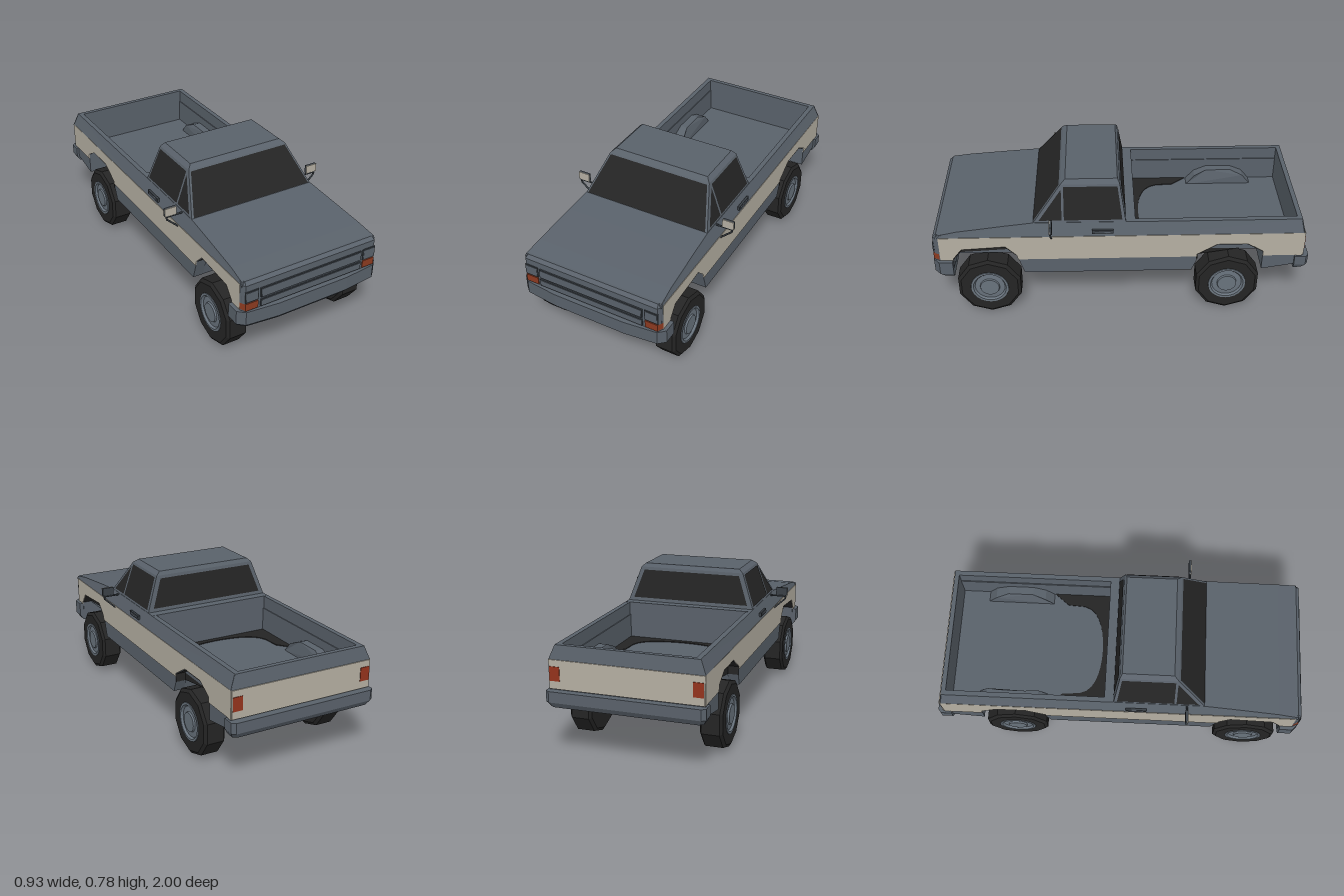
import * as THREE from 'three';

const material = (name, color, side = THREE.FrontSide) => {
  const m = new THREE.MeshStandardMaterial({ color, side });
  m.name = name;
  return m;
};

export function createModel() {
  const truck = new THREE.Group();
  truck.name = 'pickupTruck';
  const gray = material('grayPaint', 0x59616a);
  const beige = material('beigePaint', 0xb4aea1);
  const black = material('blackGlassAndRubber', 0x242424, THREE.DoubleSide);
  const trim = material('darkTrim', 0x3a4046);
  const steel = material('wheelSteel', 0x68727c);
  const orange = material('orangeLamp', 0x8c3a20);
  const red = material('redLamp', 0x93331c);

  const add = (name, geo, mat, parent = truck) => {
    const mesh = new THREE.Mesh(geo, mat);
    mesh.name = name;
    parent.add(mesh);
    return mesh;
  };
  const bend = (geo, rule) => {
    const p = geo.attributes.position, v = new THREE.Vector3();
    for (let i = 0; i < p.count; i++) {
      rule(v.fromBufferAttribute(p, i));
      p.setXYZ(i, v.x, v.y, v.z);
    }
    geo.computeVertexNormals();
    return geo;
  };
  const extrude = (pts, depth) => new THREE.ExtrudeGeometry(
    new THREE.Shape(pts.map(([a, b]) => new THREE.Vector2(a, b))), { depth, bevelEnabled: false });
  // Side outline of (z, y) points, running from x0 to x1
  const across = (pts, x0, x1, rule = () => {}) =>
    bend(extrude(pts, x1 - x0).rotateY(-Math.PI / 2).translate(x1, 0, 0), rule);
  const sided = (pts, s, x0, x1, rule) => across(pts, s > 0 ? x0 : -x1, s > 0 ? x1 : -x0, rule);
  // Plan outline of (x, z) points, running from y0 to y1
  const upward = (pts, y0, y1, rule = () => {}) =>
    bend(extrude(pts.map(([x, z]) => [x, -z]), y1 - y0).rotateX(-Math.PI / 2).translate(0, y0, 0), rule);
  const mirrored = (half) => [...half, ...half.map(([x, z]) => [-x, z]).reverse()];
  const box = (name, mat, [w, h, d], [x, y, z], parent) =>
    add(name, new THREE.BoxGeometry(w, h, d).translate(x, y, z), mat, parent);
  // Flat convex face through 3D corners
  const face = (name, pts, mat) => {
    const g = new THREE.BufferGeometry(), tri = [];
    for (let i = 1; i < pts.length - 1; i++) tri.push(...pts[0], ...pts[i], ...pts[i + 1]);
    g.setAttribute('position', new THREE.Float32BufferAttribute(tri, 3));
    g.computeVertexNormals();
    return add(name, g, mat);
  };
  const rod = (name, a, b, r, mat) => {
    const A = new THREE.Vector3(...a), d = new THREE.Vector3(...b).sub(A);
    const m = add(name, new THREE.CylinderGeometry(r, r, d.length(), 6), mat);
    m.position.copy(A).addScaledVector(d, 0.5);
    m.quaternion.setFromUnitVectors(new THREE.Vector3(0, 1, 0), d.normalize());
  };

  // Lower body with open wheel arches
  const rearArch = [[-0.755, 0.268], [-0.755, 0.39], [-0.67, 0.44], [-0.51, 0.44], [-0.405, 0.375], [-0.405, 0.33], [-0.38, 0.268]];
  const frontArch = [[0.507, 0.268], [0.545, 0.39], [0.6, 0.445], [0.83, 0.43], [0.877, 0.37], [0.877, 0.31]];
  add('underbody', across([[0.955, 0.3], [0.955, 0.505], [-0.08, 0.505], [-0.08, 0.375], [-0.95, 0.375],
    [-0.93, 0.3], [-0.755, 0.268], [-0.755, 0.36], [-0.405, 0.36], [-0.38, 0.268],
    [0.507, 0.268], [0.53, 0.36], [0.877, 0.36], [0.877, 0.3]], -0.33, 0.33), gray);

  // Shoulders lean inward above the beige band
  const shoulder = (v) => {
    if (Math.abs(v.x) > 0.35) v.x = Math.sign(v.x) * (0.39 - Math.max(0, v.y - 0.505) * 0.4);
  };
  add('hoodAndCowl', across([[0.96, 0.5], [0.955, 0.518], [0.85, 0.536], [0.6, 0.562], [0.45, 0.576],
    [-0.08, 0.576], [-0.08, 0.5]], -0.39, 0.39, shoulder), gray);
  add('tailgate', across([[-0.925, 0.3], [-0.925, 0.575], [-0.95, 0.575], [-0.965, 0.505], [-0.96, 0.3]],
    -0.388, 0.388, shoulder), gray);
  box('tailgateBand', beige, [0.776, 0.145, 0.008], [0, 0.4325, -0.966]);

  for (const s of [1, -1]) {
    add('bodySide', sided([[0.955, 0.3], [0.955, 0.505], [-0.955, 0.505], [-0.94, 0.3], ...rearArch, ...frontArch],
      s, 0.33, 0.387), gray);
    add('beigeBand', sided([[0.945, 0.36], [0.945, 0.505], [-0.966, 0.505], [-0.962, 0.36],
      [-0.755, 0.36], ...rearArch.slice(1, 5), [-0.405, 0.36],
      [0.536, 0.36], ...frontArch.slice(1, 5), [0.877, 0.36]], s, 0.386, 0.391), beige);
    add('bedRail', sided([[-0.07, 0.5], [-0.07, 0.575], [-0.945, 0.575], [-0.96, 0.505], [-0.96, 0.5]],
      s, 0.335, 0.39, shoulder), gray);
    add('bedWheelHousing', sided([[-0.4, 0.37], [-0.45, 0.43], [-0.52, 0.46], [-0.66, 0.46], [-0.73, 0.43], [-0.78, 0.37]],
      s, 0.27, 0.335, (v) => { if (v.y > 0.45 && Math.abs(v.x) < 0.3) v.x = s * 0.285; }), gray);
    // Black arch linings
    for (const [arch, zc] of [[rearArch, -0.58], [frontArch, 0.7]]) {
      const path = arch.map(([z, y]) => [z + (zc - z) * 0.02, y + (0.33 - y) * 0.03]);
      for (let i = 1; i < path.length - 2; i++) {
        const [[z0, y0], [z1, y1]] = [path[i], path[i + 1]];
        face('archLining', [[s * 0.33, y0, z0], [s * 0.39, y0, z0], [s * 0.39, y1, z1], [s * 0.33, y1, z1]], black);
      }
      face('archInnerWall', path.slice(1, -1).map(([z, y]) => [s * 0.334, y, z]), black);
    }
    box('doorHandle', trim, [0.012, 0.022, 0.11], [s * 0.386, 0.533, 0.09]);
    box('doorHandleGrip', gray, [0.012, 0.01, 0.08], [s * 0.391, 0.534, 0.09]);

    // Door mirrors on bent brackets
    box('mirrorHousing', trim, [0.064, 0.044, 0.012], [s * 0.432, 0.597, 0.355]);
    box('mirrorFace', beige, [0.064, 0.044, 0.004], [s * 0.432, 0.597, 0.363]);
    rod('mirrorArm', [s * 0.36, 0.569, 0.358], [s * 0.455, 0.569, 0.358], 0.005, trim);
    rod('mirrorEnd', [s * 0.455, 0.569, 0.358], [s * 0.45, 0.55, 0.358], 0.005, trim);
    rod('mirrorBrace', [s * 0.45, 0.552, 0.358], [s * 0.388, 0.495, 0.358], 0.005, trim);

    // Front and rear lamps
    box('headlampFrame', trim, [0.074, 0.06, 0.006], [s * 0.343, 0.441, 0.975]);
    box('headlamp', gray, [0.064, 0.05, 0.008], [s * 0.343, 0.441, 0.976]);
    box('turnLamp', orange, [0.07, 0.04, 0.008], [s * 0.343, 0.385, 0.975]);
    face('sideTurnLamp', [[s * 0.391, 0.367, 0.948], [s * 0.378, 0.367, 0.974],
      [s * 0.378, 0.403, 0.974], [s * 0.391, 0.403, 0.948]].sort(() => 0), orange)
      .geometry.setIndex(s > 0 ? [0, 2, 1, 3, 5, 4] : [0, 1, 2, 3, 4, 5]);
    box('tailLamp', red, [0.052, 0.072, 0.008], [s * 0.358, 0.436, -0.969]);
  }

  // Dark lining at the front corners of the bed floor
  const floorEdge = [[-0.33, -0.4], [-0.33, -0.082], [0.33, -0.082], [0.33, -0.4]];
  for (let i = 0; i <= 16; i++) {
    const a = Math.PI * i / 16;
    floorEdge.push([0.265 * Math.cos(a), -0.32 + 0.21 * Math.sqrt(Math.sin(a))]);
  }
  add('bedFloorLining', upward(floorEdge, 0.374, 0.379), black);

  // Cab and roof, narrowing with height
  const cabWidth = (y) => y < 0.765 ? 0.36 - (y - 0.575) * 0.353 : 0.293 - (y - 0.765) * 1.15;
  const narrow = (v) => { v.x = Math.sign(v.x) * cabWidth(v.y); };
  add('cab', across([[0.45, 0.575], [0.305, 0.765], [0, 0.765], [-0.03, 0.575]], -0.36, 0.36, narrow), gray);
  add('roof', across([[0.305, 0.765], [0.28, 0.785], [0.012, 0.785], [0, 0.765]], -0.29, 0.29, narrow), gray);

  // Glass
  const windshieldZ = (y) => 0.45 - (y - 0.575) * 0.763 + 0.004;
  const rearZ = (y) => -0.03 + (y - 0.575) * 0.158 - 0.004;
  for (const [name, zAt, inset] of [['windshield', windshieldZ, 0.01], ['rearWindow', rearZ, 0.025]]) {
    const [lo, hi] = name === 'windshield' ? [0.579, 0.76] : [0.595, 0.75];
    face(name, [[-1, lo], [1, lo], [1, hi], [-1, hi]].map(([s, y]) => [s * (cabWidth(y) - inset), y, zAt(y)]), black);
  }
  for (const s of [1, -1]) {
    const glass = (name, pts) => face(name, pts.map(([z, y]) => [s * (cabWidth(y) + 0.003), y, z]), black);
    glass('quarterWindow', [[0.42, 0.587], [0.302, 0.742], [0.302, 0.587]]);
    glass('doorWindow', [[0.29, 0.587], [0.29, 0.755], [0.012, 0.755], [-0.012, 0.587]]);
  }

  // Nose and grille
  const nose = mirrored([[0.39, 0.94], [0.39, 0.948], [0.376, 0.974]]);
  add('nose', upward(nose, 0.355, 0.505), gray);
  add('noseLip', upward(nose, 0.505, 0.52, (v) => { if (v.y > 0.51) { v.z -= 0.018; v.x *= 0.985; } }), gray);
  for (const [y, h] of [[0.443, 0.052], [0.386, 0.04]]) {
    box('grilleFrame', trim, [0.588, h, 0.012], [0, y, 0.975]);
    box('grillePanel', gray, [0.578, h - 0.008, 0.014], [0, y, 0.976]);
  }

  // Bumpers with a chamfered lower edge
  const frontBumper = mirrored([[0.41, 0.88], [0.41, 0.95], [0.375, 0.982], [0.2, 1]]);
  add('frontBumper', upward(frontBumper, 0.285, 0.36), gray);
  add('frontBumperSkirt', upward(frontBumper, 0.255, 0.285, (v) => {
    if (v.y < 0.27) { v.x *= 0.95; if (v.z > 0.9) v.z -= 0.025; }
  }), gray);
  const rearBumper = mirrored([[0.4, -0.985], [0.4, -0.925]].reverse().concat([[0.38, -1]]));
  add('rearBumper', upward(rearBumper, 0.3, 0.355), gray);
  add('rearBumperSkirt', upward(rearBumper, 0.272, 0.3, (v) => {
    if (v.y < 0.285) { v.x *= 0.96; if (v.z < -0.95) v.z += 0.018; }
  }), gray);

  // Wheels, axles and spring hangers
  const lathe = (pts, n) => new THREE.LatheGeometry(pts.map(([r, x]) => new THREE.Vector2(r, x)), n, Math.PI / 2)
    .rotateZ(-Math.PI / 2).toNonIndexed();
  const tyre = lathe([[0, -0.058], [0.158, -0.058], [0.175, -0.046], [0.175, 0.046], [0.158, 0.058], [0.096, 0.058]], 10);
  const rim = lathe([[0.102, 0.055], [0.1, 0.061], [0.088, 0.061], [0.08, 0.05], [0.053, 0.052], [0.05, 0.061], [0, 0.061]], 24);
  tyre.computeVertexNormals();
  rim.computeVertexNormals();
  for (const z of [0.7, -0.575]) {
    for (const s of [1, -1]) {
      const wheel = new THREE.Group();
      wheel.name = z > 0 ? 'frontWheel' : 'rearWheel';
      wheel.position.set(s * 0.344, 0.181, z);
      wheel.rotation.y = s > 0 ? 0 : Math.PI;
      add('tyre', tyre, black, wheel);
      add('rim', rim, steel, wheel);
      truck.add(wheel);
      box('springHanger', gray, [0.026, 0.215, 0.04], [s * 0.198, 0.26, z]);
      box('springClamp', trim, [0.028, 0.008, 0.044], [s * 0.198, 0.15, z]);
    }
    box('axle', gray, [0.58, 0.034, 0.034], [0, 0.173, z]);
    box('axleBar', gray, [0.58, 0.01, 0.02], [0, 0.196, z]);
  }
  return truck;
}
